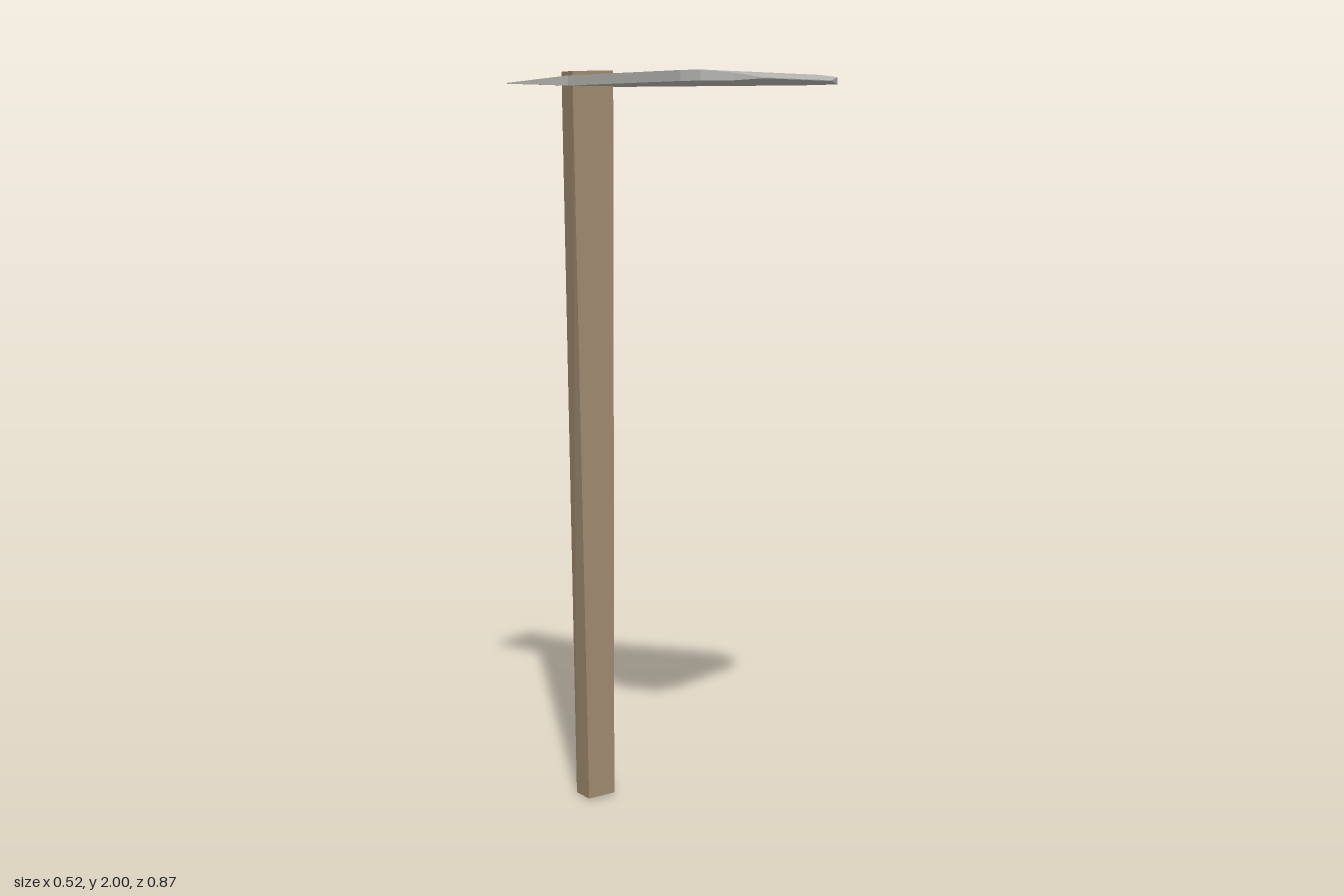
import * as THREE from 'three';

// Lofts four-cornered sections; corners run counter-clockwise seen from the last section.
function loft(sections) {
  const pos = [];
  const tri = (a, b, c) => pos.push(...a, ...b, ...c);
  for (let s = 0; s < sections.length - 1; s++) {
    const lo = sections[s], hi = sections[s + 1];
    for (let i = 0; i < 4; i++) {
      const j = (i + 1) % 4;
      tri(lo[i], lo[j], hi[j]);
      tri(lo[i], hi[j], hi[i]);
    }
  }
  const f = sections[0], l = sections[sections.length - 1];
  tri(f[0], f[2], f[1]);
  tri(f[0], f[3], f[2]);
  tri(l[0], l[1], l[2]);
  tri(l[0], l[2], l[3]);
  const geo = new THREE.BufferGeometry();
  geo.setAttribute('position', new THREE.Float32BufferAttribute(pos, 3));
  geo.computeVertexNormals();
  return geo;
}

function material(name, color) {
  const m = new THREE.MeshStandardMaterial({ color });
  m.name = name;
  return m;
}

export function createModel() {
  const group = new THREE.Group();
  group.name = 'hoe';
  const wood = material('wood', 0xa08a70);
  const metal = material('metal', 0xb4b4af);

  function add(name, geo, mat) {
    const mesh = new THREE.Mesh(geo, mat);
    mesh.name = name;
    group.add(mesh);
  }

  // Uneven four-sided handle, thicker at the top: front, right, back, left corners
  add('handle', loft([
    [[0.03, 0.01, -0.175], [0.053, 0.01, -0.24], [-0.01, 0, -0.278], [-0.045, 0.006, -0.205]],
    [[0.036, 2, -0.175], [0.065, 2, -0.27], [-0.015, 1.998, -0.311], [-0.079, 1.997, -0.22]],
  ]), wood);

  // Flat blade with thin ends: z, half width, bottom y, top y
  const blade = [
    [-0.437, 0.095, 1.967, 1.969],
    [-0.222, 0.095, 1.959, 1.985],
    [0.268, 0.261, 1.959, 1.985],
    [0.327, 0.261, 1.959, 1.985],
    [0.404, 0.229, 1.959, 1.977],
    [0.435, 0.153, 1.965, 1.967],
  ];
  add('blade', loft(blade.map(([z, w, b, t]) => [[-w, b, z], [w, b, z], [w, t, z], [-w, t, z]])), metal);

  return group;
}
